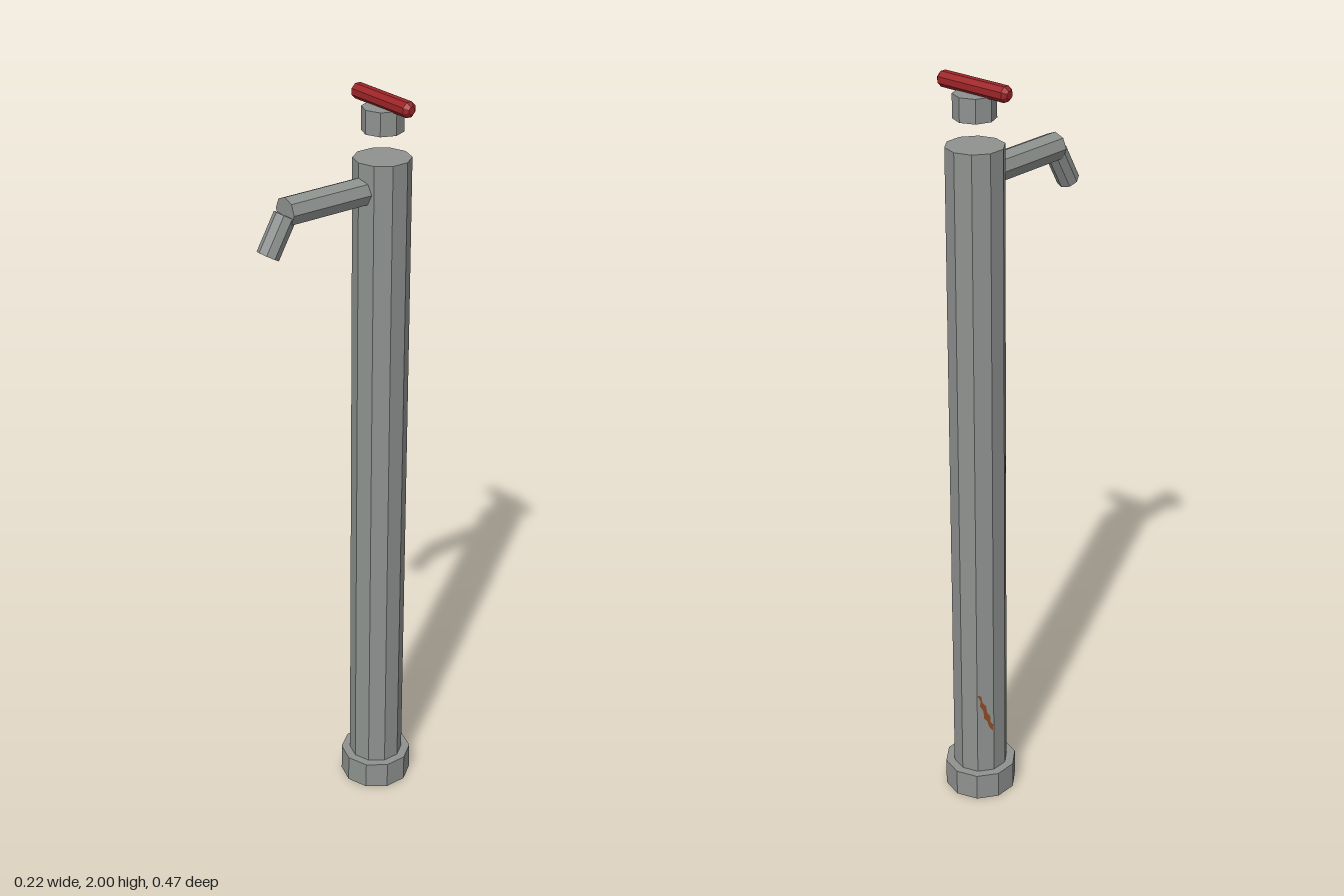
import * as THREE from 'three';

export function createModel() {
  const model = new THREE.Group();
  const steel = new THREE.MeshStandardMaterial({ color: 0x8e928f, flatShading: true });
  steel.name = 'grey metal';
  const red = new THREE.MeshStandardMaterial({ color: 0x9e2428, flatShading: true });
  red.name = 'red paint';
  const rust = new THREE.MeshStandardMaterial({ color: 0x8a4a24, side: THREE.DoubleSide });
  rust.name = 'rust';

  const POST_Z = -0.137;
  const POST_R = 0.0735;

  const add = (name, geometry, material, x, y, z) => {
    const mesh = new THREE.Mesh(geometry, material);
    mesh.name = name;
    mesh.position.set(x, y, z);
    model.add(mesh);
    return mesh;
  };

  // Upright column parts: [name, radius, bottom, top, sides]
  for (const [name, r, y0, y1, sides] of [
    ['baseCollar', 0.097, 0, 0.075, 10],
    ['post', POST_R, 0.02, 1.838, 10],
    ['valveCap', 0.053, 1.905, 1.965, 8],
  ]) {
    add(name, new THREE.CylinderGeometry(r, r, y1 - y0, sides), steel, 0, (y0 + y1) / 2, POST_Z);
  }

  // Handle bar with chamfered ends
  const barR = 0.019 / Math.cos(Math.PI / 8);
  const profile = [[0, -0.11], [0.01, -0.11], [barR, -0.099], [barR, 0.099], [0.01, 0.11], [0, 0.11]];
  const bar = new THREE.LatheGeometry(profile.map(([r, y]) => new THREE.Vector2(r, y)), 8, Math.PI / 8);
  bar.rotateZ(Math.PI / 2);
  add('handleBar', bar, red, 0, 1.981, POST_Z);

  // Horizontal spout
  const spoutStart = -0.1, spoutEnd = 0.157;
  const spout = new THREE.CylinderGeometry(0.037, 0.037, spoutEnd - spoutStart, 8).rotateX(Math.PI / 2);
  add('spout', spout, steel, 0, 1.763, (spoutStart + spoutEnd) / 2);

  // Nozzle bent down and forward from the spout end
  const nozzle = new THREE.CylinderGeometry(0.029, 0.029, 0.105, 8);
  nozzle.translate(0, -0.0525, 0).rotateX(-Math.PI / 6);
  add('nozzle', nozzle, steel, 0, 1.754, spoutEnd);

  // Flat rust marks lying on single faces of the post
  const addRust = (name, faceDegrees, y, outline) => {
    const shape = new THREE.Shape(outline.map(([px, py]) => new THREE.Vector2(px, py)));
    const a = THREE.MathUtils.degToRad(faceDegrees);
    const d = POST_R * Math.cos(Math.PI / 10) + 0.0015;
    const mark = add(name, new THREE.ShapeGeometry(shape), rust,
      Math.sin(a) * d, y, POST_Z + Math.cos(a) * d);
    mark.rotation.y = a;
  };
  addRust('lowerRustMark', 234, 0.265, [
    [-0.022, 0.06], [-0.012, 0.057], [-0.008, 0.035], [0.002, 0.022], [0.004, 0.002],
    [0.013, -0.012], [0.013, -0.03], [0.021, -0.04], [0.02, -0.06], [0.01, -0.046],
    [0.004, -0.026], [-0.004, -0.016], [-0.006, 0.008], [-0.015, 0.024], [-0.014, 0.042],
  ]);
  addRust('upperRustMark', -54, 1.005, [
    [-0.022, 0.036], [-0.014, 0.028], [-0.012, 0.016], [0, 0.01], [0.003, -0.015],
    [-0.006, -0.024], [-0.012, -0.032], [-0.022, -0.03],
  ]);

  return model;
}
